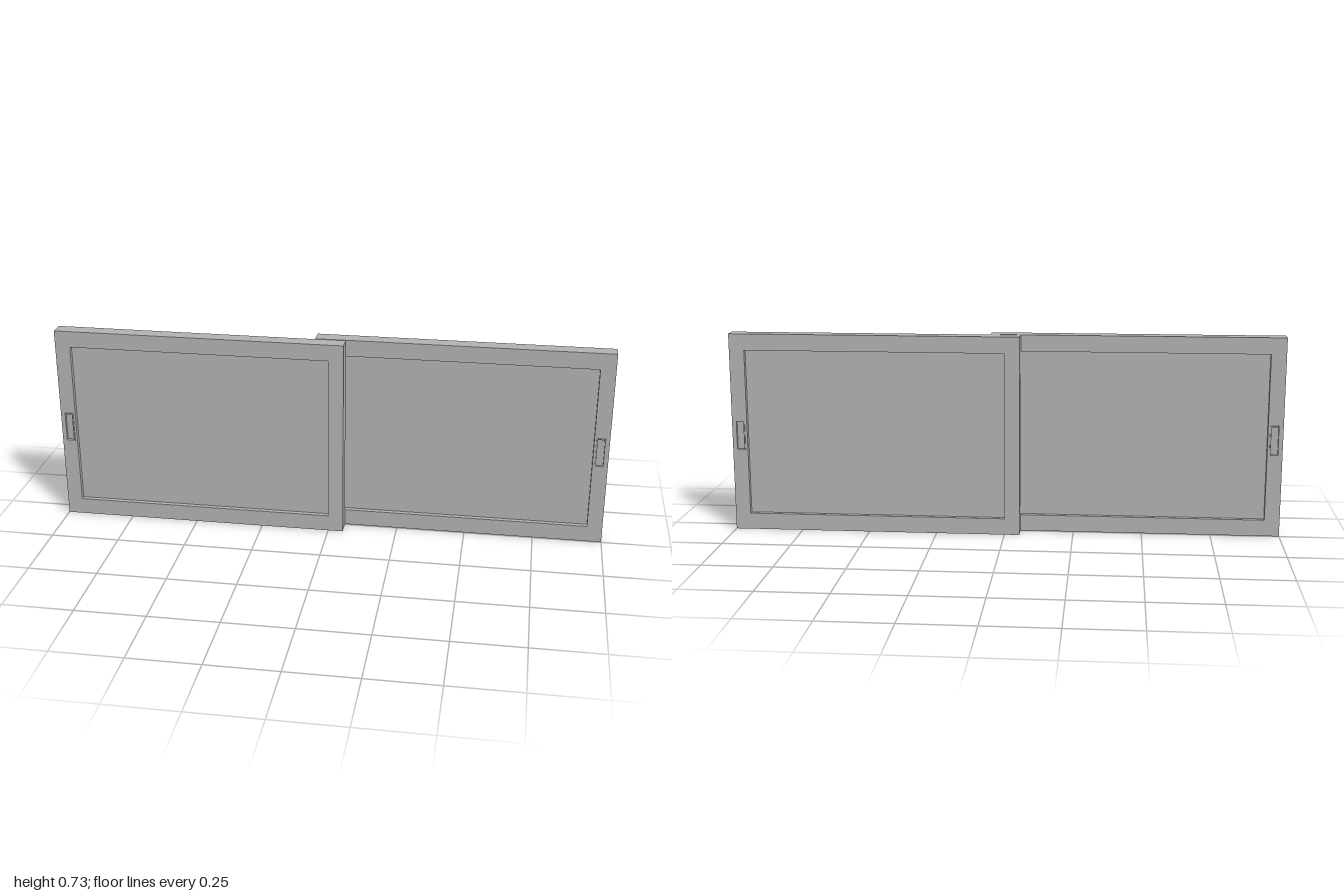
import * as THREE from 'three';

const W = 1.055, H = 0.73, D = 0.055; // size of one sliding sash

// adds a rectangle, given by its edges, to a shape or path
function rect(path, x0, y0, x1, y1) {
  path.moveTo(x0, y0);
  path.lineTo(x1, y0);
  path.lineTo(x1, y1);
  path.lineTo(x0, y1);
  path.closePath();
  return path;
}

// extruded plate with rectangular holes, centred on z = 0
function plate(name, outer, holes, depth, material) {
  const shape = rect(new THREE.Shape(), ...outer);
  for (const h of holes) shape.holes.push(rect(new THREE.Path(), ...h));
  const geo = new THREE.ExtrudeGeometry(shape, { depth, bevelEnabled: false });
  geo.translate(0, 0, -depth / 2);
  const mesh = new THREE.Mesh(geo, material);
  mesh.name = name;
  return mesh;
}

// one sash with its left edge at x = 0
function makeSash(name, material) {
  const sash = new THREE.Group();
  sash.name = name;
  const opening = [0.055, 0.06, 1.0, 0.67];
  const pull = [0.013, 0.3, 0.047, 0.411];
  const cup = [0.017, 0.304, 0.043, 0.407];

  sash.add(plate('frame', [0, 0, W, H], [opening, cup], D, material));
  sash.add(plate('glassPane', opening, [], 0.02, material));

  // recessed finger pull: a raised rim on each face and a shared floor
  for (const side of [1, -1]) {
    const rim = plate('pullRim', pull, [cup], 0.004, material);
    rim.position.z = side * (D / 2 + 0.002);
    sash.add(rim);
  }
  sash.add(plate('pullFloor', cup, [], D - 0.014, material));
  return sash;
}

export function createModel() {
  const group = new THREE.Group();
  group.name = 'slidingWindow';
  const grey = new THREE.MeshStandardMaterial({ color: 0xb2b2b2 });
  grey.name = 'grey';

  const front = makeSash('frontSash', grey);
  front.position.set(-1, 0, 0.03);

  // the rear sash is the same part turned half a turn
  const rear = makeSash('rearSash', grey);
  rear.rotation.y = Math.PI;
  rear.position.set(1, 0, -0.03);

  group.add(front, rear);
  return group;
}
